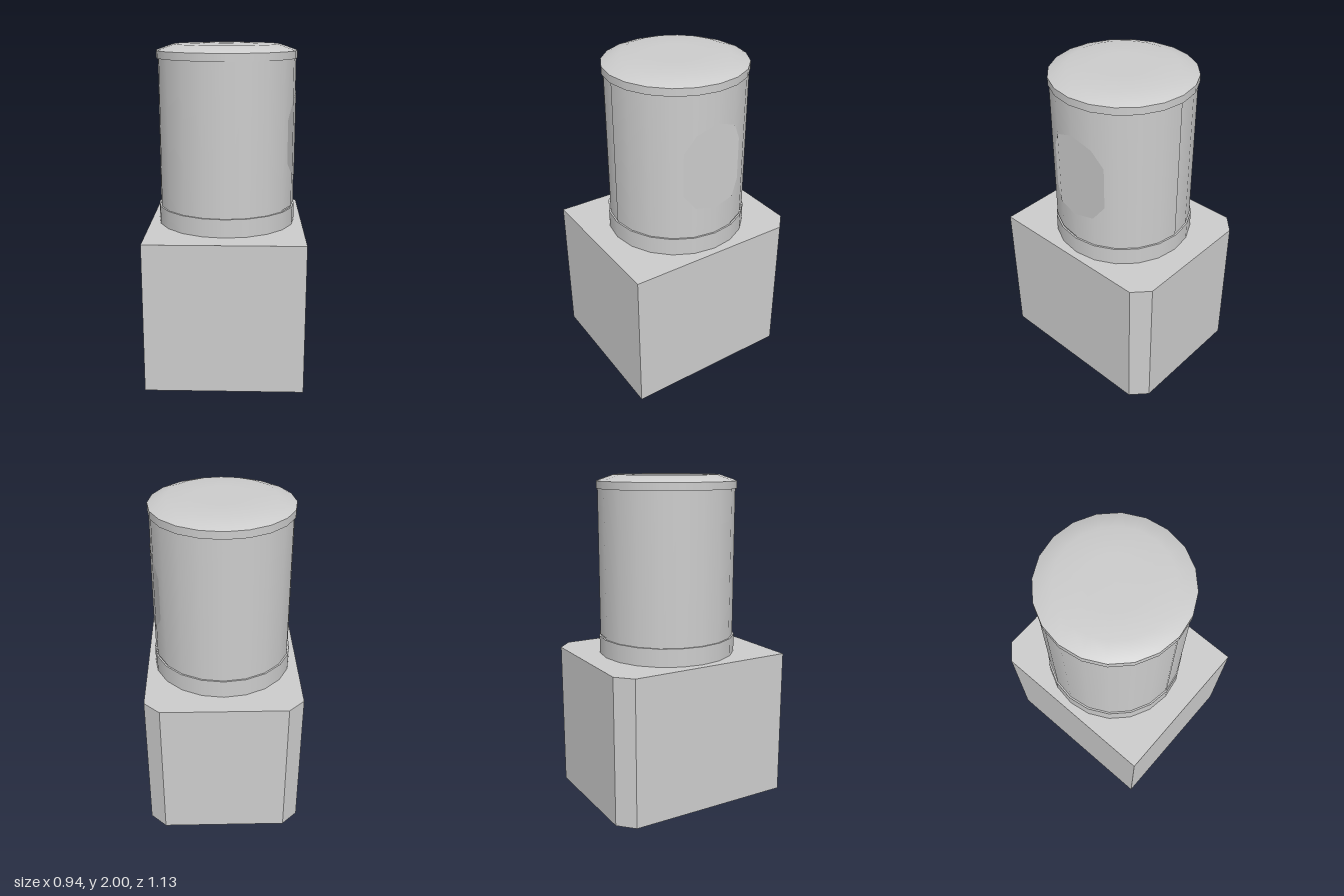
import * as THREE from 'three';

export function createModel() {
  const model = new THREE.Group();
  const grey = new THREE.MeshStandardMaterial({ color: 0xcccccc });
  grey.name = 'light grey';
  const SIDES = 20;

  const add = (name, geometry) => {
    const mesh = new THREE.Mesh(geometry, grey);
    mesh.name = name;
    model.add(mesh);
    return mesh;
  };
  const drum = (name, radius, y0, y1, open = false, sides = SIDES, arc = Math.PI * 2) => {
    const g = new THREE.CylinderGeometry(radius, radius, y1 - y0, sides, 1, open, 0, arc);
    return add(name, g.translate(0, (y0 + y1) / 2, 0));
  };

  // Block with two bevelled back corners
  const outline = new THREE.Shape([
    [-0.47, -0.565], [0.47, -0.565], [0.47, 0.475],
    [0.375, 0.565], [-0.375, 0.565], [-0.47, 0.475],
  ].map(([x, y]) => new THREE.Vector2(x, y)));
  add('baseBlock', new THREE.ExtrudeGeometry(outline, { depth: 0.91, bevelEnabled: false })
    .rotateX(-Math.PI / 2));

  // Round body with its collar and cap rim
  drum('collar', 0.425, 0.905, 1.02);
  drum('body', 0.415, 1.01, 1.92);
  drum('capRim', 0.425, 1.915, 1.96);

  // Thin sleeve wrapped around the left half of the body
  drum('sleeve', 0.419, 1.03, 1.915, true, SIDES / 2, Math.PI);

  // Shallow domed cap
  const dome = [[0.425, 1.96], [0.4, 1.97], [0.32, 1.997], [0.16, 1.999], [0, 2]];
  add('capDome', new THREE.LatheGeometry(dome.map(([r, y]) => new THREE.Vector2(r, y)), SIDES));

  // Octagonal patch following the side facets, keeping its sideways normals
  const columns = [[0.2, 1.32, 1.55], [0.129, 1.22, 1.68], [0, 1.2, 1.73],
    [-0.129, 1.22, 1.68], [-0.2, 1.32, 1.55]];
  const patch = new THREE.PlaneGeometry(1, 1, 4, 1).rotateY(Math.PI / 2);
  const xs = [0.362, 0.402, 0.4225, 0.402, 0.362];
  for (let i = 0; i < 10; i++) {
    const [z, low, high] = columns[i % 5];
    patch.attributes.position.setXYZ(i, xs[i % 5], i < 5 ? high : low, z);
  }
  add('sidePatch', patch);

  return model;
}
